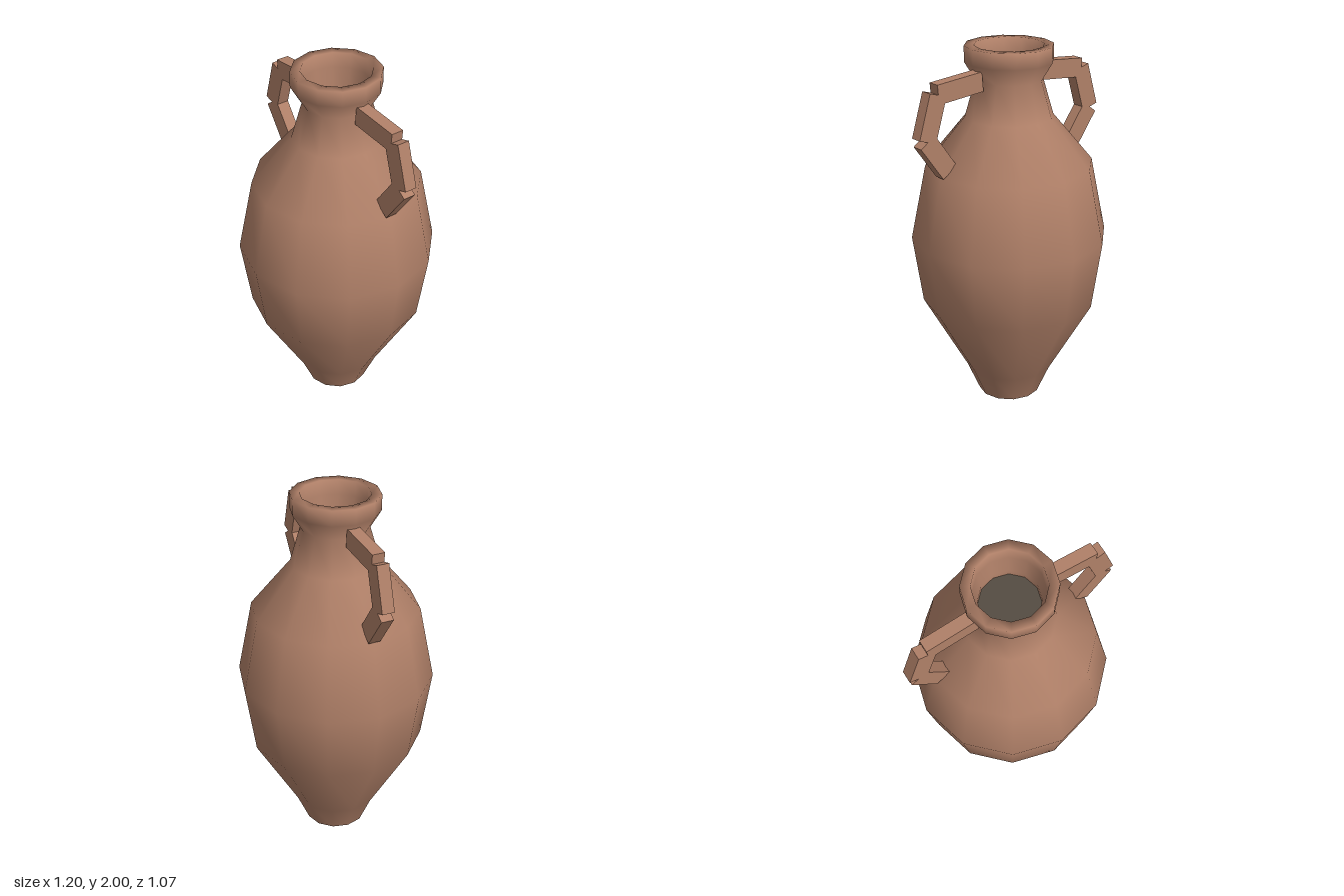
import * as THREE from 'three';

const SIDES = 12;
const clay = new THREE.MeshStandardMaterial({ color: 0xb08068 });
const dark = new THREE.MeshStandardMaterial({ color: 0x554c42 });

function addMesh(parent, name, geometry, material = clay) {
  const mesh = new THREE.Mesh(geometry, material);
  mesh.name = name;
  parent.add(mesh);
  return mesh;
}

function lathe(points) {
  return new THREE.LatheGeometry(points.map(([r, y]) => new THREE.Vector2(r, y)), SIDES);
}

// Square bar between two points in the xy plane
function addBar(parent, name, [x0, y0], [x1, y1]) {
  const length = Math.hypot(x1 - x0, y1 - y0);
  const bar = addMesh(parent, name, new THREE.BoxGeometry(length, 0.104, 0.068));
  bar.position.set((x0 + x1) / 2, (y0 + y1) / 2, 0);
  bar.rotation.z = Math.atan2(y1 - y0, x1 - x0);
}

export function createModel() {
  const model = new THREE.Group();
  model.name = 'amphora';

  // Outer wall, over the lip and down into the neck
  addMesh(model, 'body', lathe([
    [0.17, 0], [0.24, 0.16], [0.48, 0.58], [0.535, 0.955], [0.453, 1.36],
    [0.238, 1.62], [0.18, 1.82], [0.237, 1.915], [0.237, 2],
    [0.185, 2], [0.18, 1.92], [0.157, 1.82], [0.157, 1.76],
  ]));

  // Flat foot and the dark inside of the neck
  const foot = addMesh(model, 'foot', new THREE.CircleGeometry(0.17, SIDES));
  foot.rotation.x = Math.PI / 2;
  const inside = addMesh(model, 'neckInterior', new THREE.CircleGeometry(0.16, SIDES), dark);
  inside.rotation.x = -Math.PI / 2;
  inside.position.y = 1.78;

  // Two handles, each of three straight bars
  for (const side of [1, -1]) {
    const handle = new THREE.Group();
    handle.name = side > 0 ? 'leftHandle' : 'rightHandle';
    const path = [[0.2, 1.838], [0.478, 1.813], [0.548, 1.58], [0.415, 1.395]]
      .map(([x, y]) => [x * side, y]);
    ['upperBar', 'middleBar', 'lowerBar'].forEach((name, i) => addBar(handle, name, path[i], path[i + 1]));
    model.add(handle);
  }
  return model;
}
